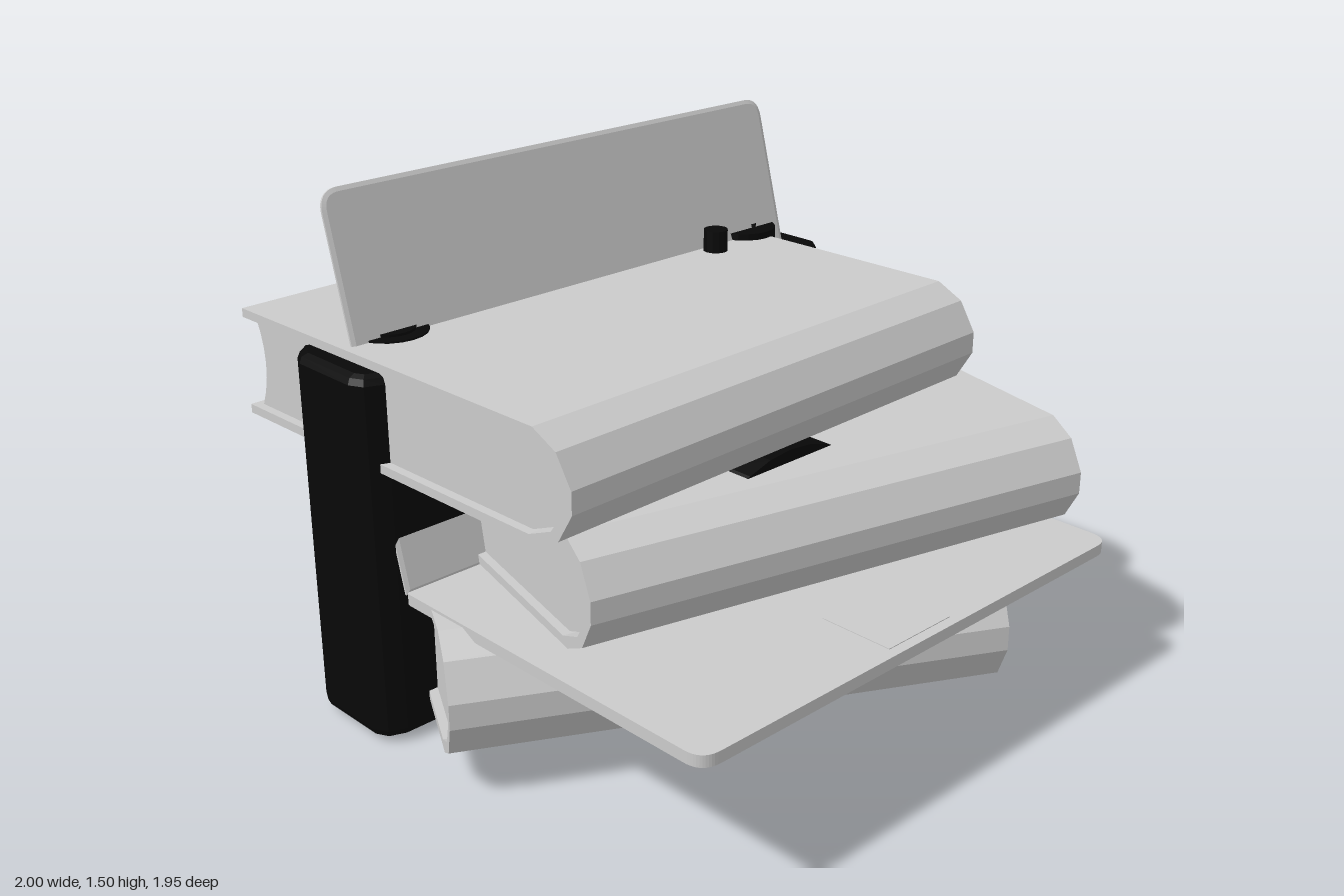
import * as THREE from 'three';

const grey = new THREE.MeshStandardMaterial({ color: 0xcccccc, flatShading: true });
const black = new THREE.MeshStandardMaterial({ color: 0x080808, flatShading: true });

function add(parent, name, geometry, material, x = 0, y = 0, z = 0) {
  const mesh = new THREE.Mesh(geometry, material);
  mesh.name = name;
  mesh.position.set(x, y, z);
  parent.add(mesh);
  return mesh;
}

const shapeOf = pts => new THREE.Shape(pts.map(([x, y]) => new THREE.Vector2(x, y)));

// Plan outline given as [x, z], extruded from y0 up to y1 with optional chamfer
function slab(plan, y0, y1, bevel = 0) {
  const geo = new THREE.ExtrudeGeometry(shapeOf(plan.map(([x, z]) => [x, -z])), {
    depth: y1 - y0 - 2 * bevel, bevelEnabled: bevel > 0, bevelSegments: 2,
    bevelSize: bevel, bevelOffset: -bevel, bevelThickness: bevel,
  });
  geo.rotateX(-Math.PI / 2);
  return geo.translate(0, y0 + bevel, 0);
}

// Rectangle with chosen corner radii for the low and high y edges
function roundedRect(x0, y0, x1, y1, rLow, rHigh) {
  const s = new THREE.Shape();
  s.moveTo(x0 + rLow, y0);
  s.lineTo(x1 - rLow, y0);
  if (rLow) s.quadraticCurveTo(x1, y0, x1, y0 + rLow);
  s.lineTo(x1, y1 - rHigh);
  if (rHigh) s.quadraticCurveTo(x1, y1, x1 - rHigh, y1);
  s.lineTo(x0 + rHigh, y1);
  if (rHigh) s.quadraticCurveTo(x0, y1, x0, y1 - rHigh);
  s.lineTo(x0, y0 + rLow);
  if (rLow) s.quadraticCurveTo(x0, y0, x0 + rLow, y0);
  return s;
}

// Section given as [z, y], extruded along x and centred
function alongX(section, width) {
  const geo = new THREE.ExtrudeGeometry(shapeOf(section), { depth: width, bevelEnabled: false });
  return geo.translate(0, 0, -width / 2).rotateY(-Math.PI / 2);
}

// Faceted spine curve from top to bottom; front is its furthest z
const spineCurve = (front, h) =>
  [[-0.13, 1], [-0.05, 0.74], [0, 0.2], [0, -0.2], [-0.05, -0.74], [-0.13, -1]]
    .map(([z, y]) => [front + z, y * h]);

// Hardback: cover wrapped round a page block, concave at the fore edge
function book(name, x, y0, z, height, turn) {
  const g = new THREE.Group();
  const W = 1.525, D = 0.665, h = height / 2, t = 0.025;
  add(g, 'cover', alongX([
    [-D, h], ...spineCurve(D, h), [-D, -h],
    [-D, t - h], ...spineCurve(D - t, h - t).reverse(), [-D, h - t],
  ], W), grey);
  const fore = [];
  for (let i = 0; i <= 6; i++) {
    const v = -1 + i / 3;
    fore.push([-D + 0.055 - 0.03 * v * v, v * (h - t)]);
  }
  add(g, 'pages', alongX([...spineCurve(D - t - 0.012, h - t), ...fore], W - 0.05), grey);
  g.name = name;
  g.position.set(x, y0 + h, z);
  g.rotation.y = turn;
  return g;
}

function laptop() {
  const g = new THREE.Group();
  g.name = 'laptop';
  const base = new THREE.ExtrudeGeometry(roundedRect(-0.88, -0.97, 0.72, 0.14, 0.06, 0.02),
    { depth: 0.033, bevelEnabled: false });
  add(g, 'laptopBase', base.rotateX(-Math.PI / 2), grey, 0, 0.435, 0);
  add(g, 'trackpad', new THREE.BoxGeometry(0.24, 0.004, 0.22), grey, -0.08, 0.468, 0.83);
  // Lid leans back from the hinge
  const lid = new THREE.ExtrudeGeometry(roundedRect(-0.88, 0, 0.72, 1.075, 0, 0.06), {
    depth: 0.006, bevelEnabled: true, bevelSegments: 1,
    bevelThickness: 0.004, bevelSize: 0.012, bevelOffset: -0.012,
  });
  add(g, 'laptopLid', lid, grey, 0, 0.46, -0.14).rotation.x = -0.26;
  return g;
}

function camera() {
  const g = new THREE.Group();
  g.name = 'camera';
  // Body with chamfered ends
  add(g, 'cameraBody', slab([
    [-0.95, -0.45], [-0.93, -0.49], [-0.88, -0.53], [0.75, -0.53], [0.79, -0.49], [0.8, -0.45],
    [0.8, -0.23], [0.77, -0.19], [0.73, -0.17], [-0.88, -0.17], [-0.93, -0.19], [-0.95, -0.23],
  ], 0.015, 1.07, 0.025), black);
  add(g, 'handGrip', slab([
    [0.5, -0.2], [0.74, -0.2], [0.72, -0.16], [0.67, -0.155], [0.66, -0.125], [0.56, -0.125], [0.52, -0.15],
  ], 0.8, 1.07, 0.01), black);
  add(g, 'basePlate', slab([[0.16, -0.5], [0.44, -0.5], [0.44, -0.2], [0.16, -0.2]], 0, 0.03, 0.008), black);

  // Stepped lens barrel, as [radius, z]
  const lens = [
    [0, 0.4], [0.3, 0.4], [0.34, 0.47], [0.4, 0.47], [0.4, 0.38], [0.375, 0.37], [0.375, 0.29],
    [0.365, 0.28], [0.365, 0.07], [0.39, 0.06], [0.39, -0.04], [0.355, -0.05], [0.355, -0.2], [0, -0.2],
  ];
  const barrel = new THREE.LatheGeometry(lens.map(([r, z]) => new THREE.Vector2(r, z)).reverse(), 32);
  add(g, 'lensBarrel', barrel.rotateX(Math.PI / 2), black, -0.06, 0.42, 0);
  // Raised grips round the focus rings
  const count = 24;
  for (const [z, depth, phase] of [[0.31, 0.05, 0], [0.2, 0.07, 0.5], [0.105, 0.05, 0]]) {
    for (let i = 0; i < count; i++) {
      const a = (i + phase) / count * Math.PI * 2;
      const rib = add(g, 'lensRib', new THREE.BoxGeometry(0.05, 0.065, depth), black,
        -0.06 + Math.sin(a) * 0.367, 0.42 + Math.cos(a) * 0.367, z);
      rib.rotation.z = -a;
    }
  }

  // Top controls
  const disc = (name, r, y0, y1, x, z, sides = 20) =>
    add(g, name, new THREE.CylinderGeometry(r, r, y1 - y0, sides), black, x, (y0 + y1) / 2, z);
  disc('rewindDial', 0.105, 1.05, 1.115, -0.735, -0.345);
  disc('rewindCap', 0.07, 1.11, 1.122, -0.735, -0.345);
  disc('windDial', 0.1, 1.05, 1.13, 0.595, -0.345);
  disc('shutterButton', 0.037, 1.05, 1.175, 0.395, -0.265, 12);
  add(g, 'leverArm', slab([
    [0.55, -0.55], [0.61, -0.57], [0.68, -0.5], [0.7, -0.36], [0.6, -0.3], [0.55, -0.42], [0.64, -0.46],
  ], 1.11, 1.14), black);
  add(g, 'leverTip', slab([
    [0.28, -0.59], [0.3, -0.61], [0.38, -0.615], [0.56, -0.575], [0.54, -0.5], [0.51, -0.475], [0.32, -0.53],
  ], 1.11, 1.155), black);
  return g;
}

export function createModel() {
  const model = new THREE.Group();
  model.name = 'bookStackWithLaptopAndCamera';
  model.add(
    book('bottomBook', -0.01, 0.1, -0.03, 0.36, -0.499),
    book('middleBook', 0.1, 0.47, 0.055, 0.315, -0.248),
    book('topBook', -0.14, 0.805, -0.126, 0.305, 0.021),
    laptop(),
    camera(),
  );
  return model;
}
